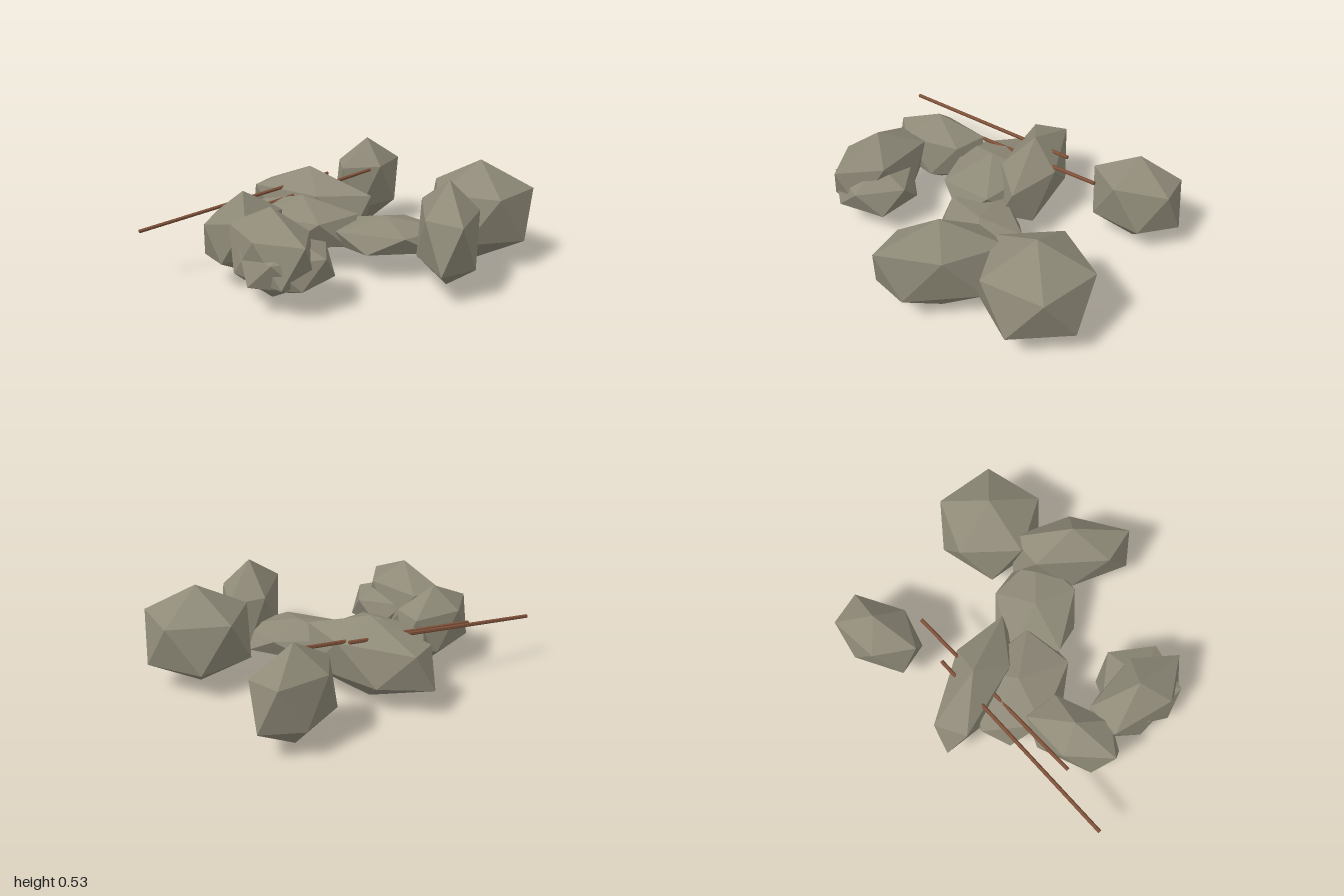
import * as THREE from 'three';
import { ConvexGeometry } from 'three/addons/geometries/ConvexGeometry.js';

const stone = new THREE.MeshStandardMaterial({ color: 0x8f8a78, flatShading: true });
stone.name = 'grey stone';
const wood = new THREE.MeshStandardMaterial({ color: 0x7d5039, flatShading: true });
wood.name = 'brown wood';

// Stretched twenty-sided stone: poles up and down, two five-point rings.
// a and b are the [x, z] vectors that span the upper ring; the lower ring is its inverse.
function rock(name, [x, y, z], h, a, b) {
  const points = [new THREE.Vector3(0, h, 0), new THREE.Vector3(0, -h, 0)];
  for (let k = 0; k < 5; k++) {
    const c = Math.cos(k * Math.PI * 0.4), s = Math.sin(k * Math.PI * 0.4);
    const p = new THREE.Vector3(a[0] * c + b[0] * s, h * 0.447, a[1] * c + b[1] * s);
    points.push(p, p.clone().negate());
  }
  const mesh = new THREE.Mesh(new ConvexGeometry(points), stone);
  mesh.name = name;
  mesh.position.set(x, y, z);
  return mesh;
}

// Thin straight stick between two points
function stick(name, from, to) {
  const p = new THREE.Vector3(...from), q = new THREE.Vector3(...to);
  const dir = q.clone().sub(p);
  const mesh = new THREE.Mesh(new THREE.CylinderGeometry(0.01, 0.01, dir.length(), 6), wood);
  mesh.name = name;
  mesh.position.copy(p).add(q).multiplyScalar(0.5);
  mesh.quaternion.setFromUnitVectors(new THREE.Vector3(0, 1, 0), dir.normalize());
  return mesh;
}

export function createModel() {
  const model = new THREE.Group();
  model.name = 'rockPile';
  model.add(
    // Large stones on the left side
    rock('largeLeftRock', [0.73, 0.27, 0.18], 0.265, [0.251, 0.112], [-0.112, 0.251]),
    rock('largeFrontRock', [0.395, 0.27, 0.495], 0.265, [0.161, -0.268], [0.092, 0.149]),
    // Flat stones in the middle
    rock('flatCentreRock', [0.2, 0.19, 0.19], 0.1, [-0.27, 0.01], [-0.09, -0.245]),
    rock('flatRightRock', [-0.155, 0.215, -0.08], 0.145, [0.243, 0.166], [-0.087, 0.24]),
    // Stones at the back
    rock('longBackRock', [-0.05, 0.245, -0.277], 0.215, [0.243, 0.274], [-0.104, 0.105]),
    rock('separateBackRock', [0.41, 0.262, -0.61], 0.252, [0.21, -0.03], [-0.05, 0.183]),
    // Cluster on the right side
    rock('rightRock', [-0.505, 0.243, 0.055], 0.207, [0.199, -0.004], [-0.105, 0.193]),
    rock('frontRightRock', [-0.47, 0.25, 0.427], 0.22, [-0.15, -0.203], [0.08, -0.198]),
    rock('smallRightRock', [-0.41, 0.203, 0.48], 0.141, [0.21, -0.07], [0.07, 0.2]),
    // Two parallel sticks laid through the back stone
    stick('longStick', [-1, 0.262, -0.055], [0.09, 0.38, -0.39]),
    stick('shortStick', [-0.66, 0.265, -0.055], [0.34, 0.378, -0.39])
  );
  return model;
}
